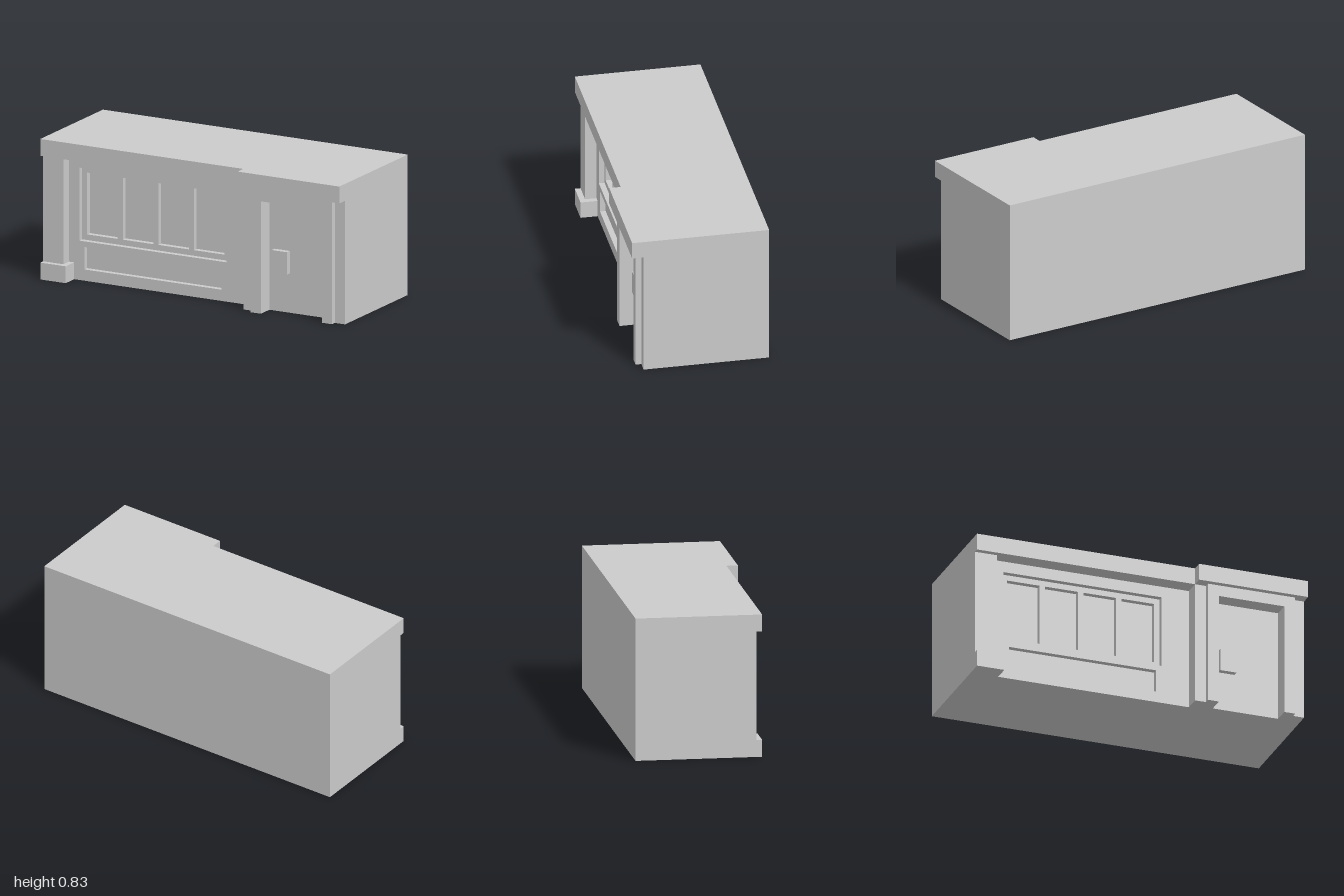
import * as THREE from 'three';

const U = 1 / 30; // design module: every dimension is a whole number of these
const material = new THREE.MeshStandardMaterial({ color: 0xcccccc, flatShading: true });

// Box given by its limits [min, max] on each axis, in modules
function box(name, [x0, x1], [y0, y1], [z0, z1]) {
  const geometry = new THREE.BoxGeometry((x1 - x0) * U, (y1 - y0) * U, (z1 - z0) * U);
  geometry.translate((x0 + x1) / 2 * U, (y0 + y1) / 2 * U, (z0 + z1) / 2 * U);
  const mesh = new THREE.Mesh(geometry, material);
  mesh.name = name;
  return mesh;
}

function outline(points, Type = THREE.Shape) {
  return new Type(points.map(([x, y]) => new THREE.Vector2(x * U, y * U)));
}

const rect = ([x0, x1], [y0, y1]) => [[x0, y0], [x1, y0], [x1, y1], [x0, y1]];

// Flat slab between z0 and z1 with optional cut-outs
function slab(name, points, holes, [z0, z1]) {
  const shape = outline(points);
  shape.holes = holes.map((h) => outline(h, THREE.Path));
  const geometry = new THREE.ExtrudeGeometry(shape, { depth: (z1 - z0) * U, bevelEnabled: false });
  geometry.translate(0, 0, z0 * U);
  const mesh = new THREE.Mesh(geometry, material);
  mesh.name = name;
  return mesh;
}

// Upside-down U around the doorway, open at the ground
const doorSurround = (x0, x1) => [
  [x0, 0], [14, 0], [14, 20], [26, 20], [26, 0], [x1, 0], [x1, 22], [x0, 22],
];

export function createModel() {
  const model = new THREE.Group();
  model.name = 'shopfront';

  // Main volume; its front face is the glass of the window
  model.add(box('building', [-30, 30], [0, 25], [-12, 5]));

  // Shop window: panes set into a frame, the frame set into the wall
  const panes = [0, 1, 2, 3].map((i) => rect([-23 + i * 7, -17 + i * 7], [8, 19]));
  model.add(slab('windowFrame', rect([-30, 10], [0, 22]), panes, [5, 6]));
  const recesses = [rect([-24, 5], [7, 20]), rect([-23, 4], [2, 6])];
  model.add(slab('shopWall', rect([-30, 10], [0, 22]), recesses, [6, 7]));

  // Corner pilaster on its plinth
  model.add(box('pilaster', [-30, -26], [3, 22], [7, 9]));
  model.add(box('plinth', [-30, -25], [0, 3], [7, 10]));

  // Entrance bay
  model.add(box('door', [10, 30], [0, 22], [5, 8]));
  model.add(slab('entranceWall', doorSurround(10, 30), [], [8, 10]));
  model.add(slab('doorFrame', doorSurround(12, 28), [], [10, 11]));
  model.add(box('doorHandle', [15, 18], [7, 11], [8, 9]));

  // Fascia, stepping forward over the entrance
  model.add(box('shopFascia', [-30, 10], [22, 25], [5, 10]));
  model.add(box('entranceFascia', [10, 30], [22, 25], [5, 12]));

  return model;
}
